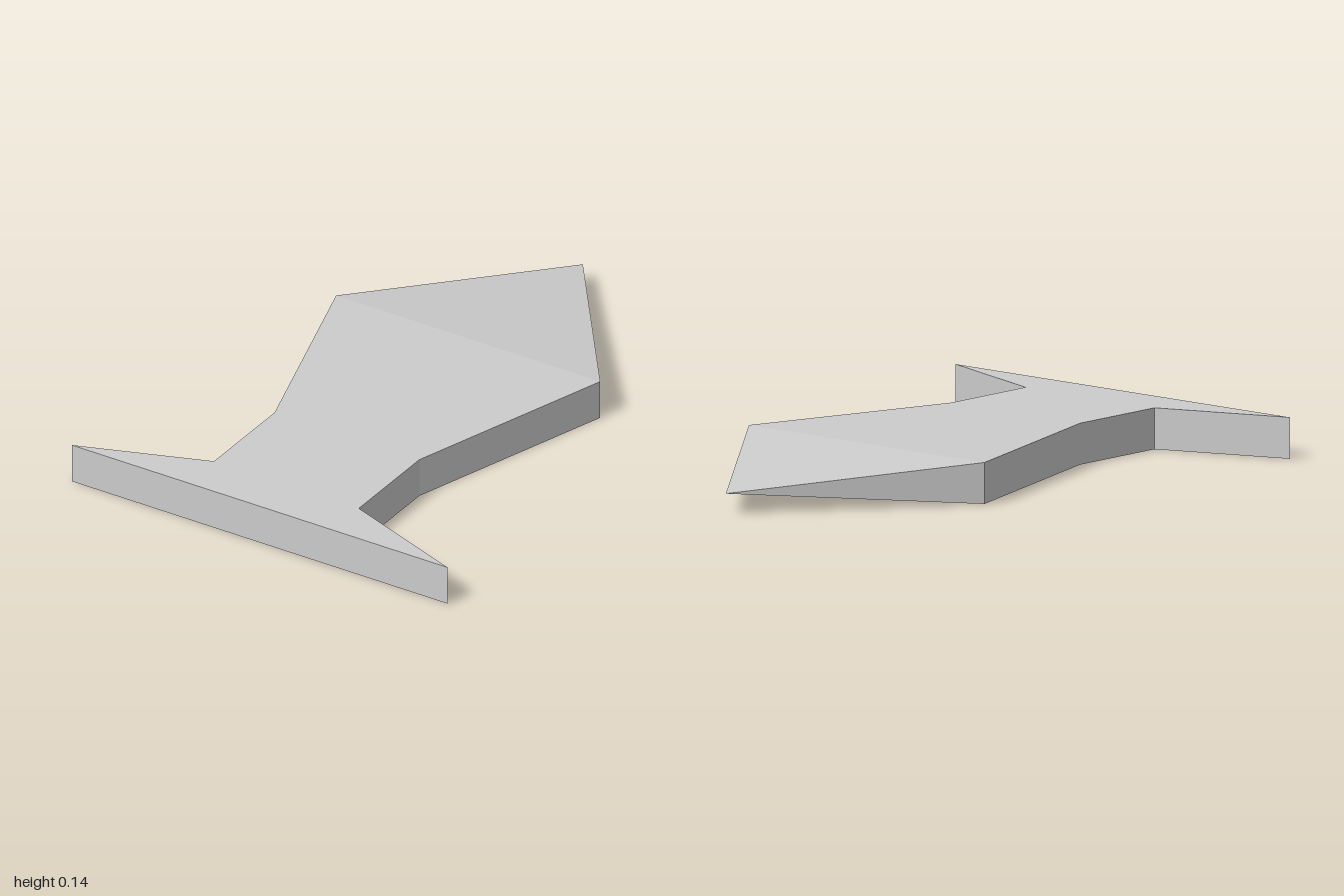
import * as THREE from 'three';

const THICKNESS = 0.14;
const SHOULDER_Z = -0.29;
const SHOULDER_X = 0.52;

// Right half of the outline, as [x, z] from shoulder to flared foot
const HALF_OUTLINE = [[SHOULDER_X, SHOULDER_Z], [0.285, 0.46], [0.285, 0.835], [0.74, 1]];

export function createModel() {
  const group = new THREE.Group();
  const grey = new THREE.MeshStandardMaterial({ color: 0xcccccc });
  grey.name = 'light grey';
  grey.flatShading = true;

  const add = (name, geometry) => {
    const mesh = new THREE.Mesh(geometry, grey);
    mesh.name = name;
    group.add(mesh);
  };

  // Flat body: mirrored outline extruded upward
  const mirrored = HALF_OUTLINE.map(([x, z]) => [-x, z]).reverse();
  const outline = [...HALF_OUTLINE, ...mirrored].map(([x, z]) => new THREE.Vector2(x, -z));
  const body = new THREE.ExtrudeGeometry(new THREE.Shape(outline), {
    depth: THICKNESS, bevelEnabled: false,
  });
  body.rotateX(-Math.PI / 2);
  add('body', body);

  // Four-sided wedge narrowing to a point at the back
  const length = SHOULDER_Z + 1;
  const tip = new THREE.ConeGeometry(Math.SQRT1_2, length, 4, 1, true, Math.PI / 4).toNonIndexed();
  tip.rotateX(-Math.PI / 2);
  tip.scale(2 * SHOULDER_X, THICKNESS, 1);
  tip.translate(0, THICKNESS / 2, SHOULDER_Z - length / 2);
  tip.computeVertexNormals();
  add('tip', tip);

  return group;
}
